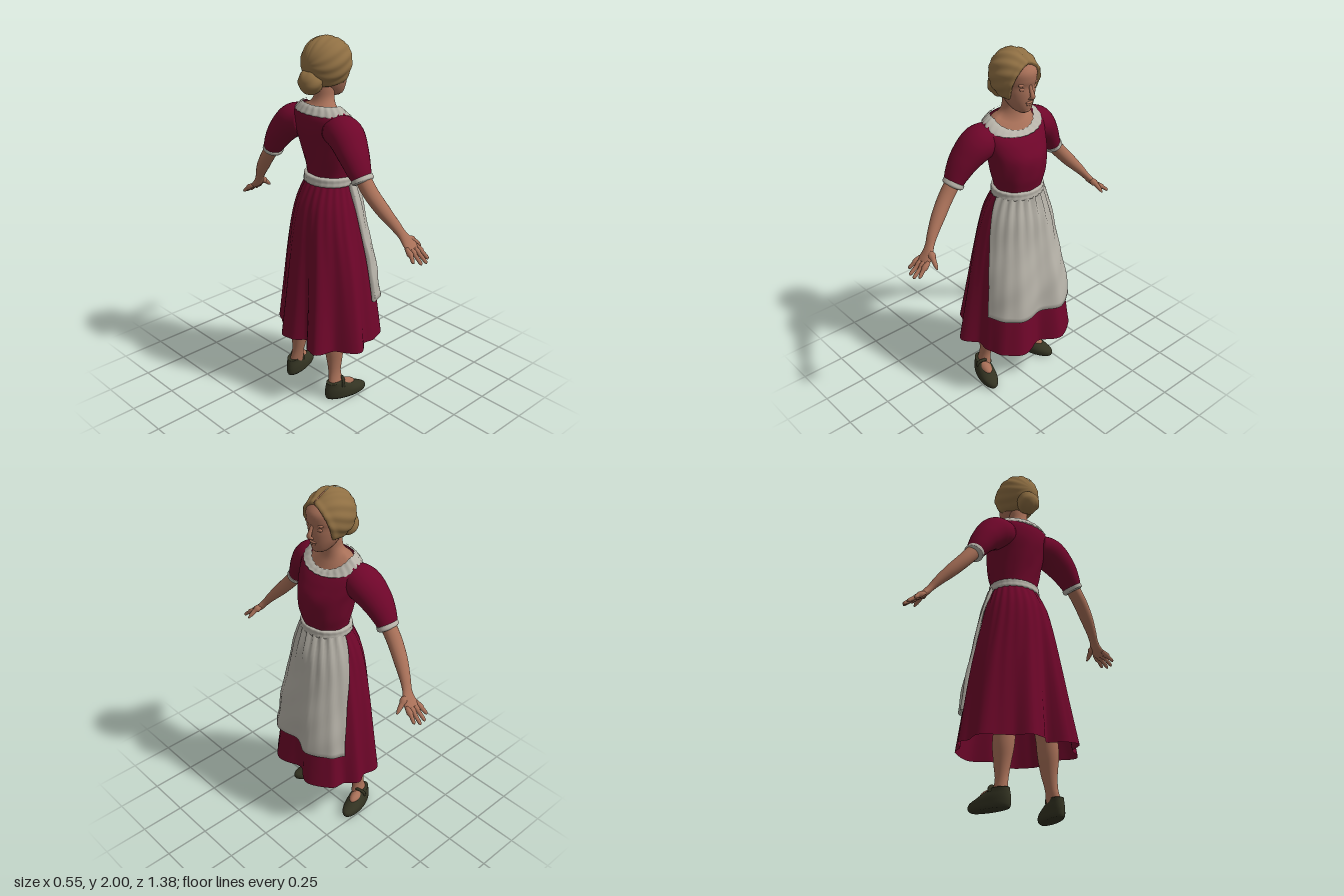
import * as THREE from 'three';

const mat = (name, color, side = THREE.FrontSide) => {
  const m = new THREE.MeshStandardMaterial({ color, side });
  m.name = name;
  return m;
};
const V = (x, y, z) => new THREE.Vector3(x, y, z);
const { sin, cos, PI, max, min, abs } = Math;

// Smooth skin over closed rings of points; caps fan to the ring centres
function loft(rings, cap = false) {
  const n = rings[0].length, pos = [], idx = [];
  rings.forEach(r => r.forEach(p => pos.push(p.x, p.y, p.z)));
  for (let i = 0; i < rings.length - 1; i++) for (let j = 0; j < n; j++) {
    const k = (j + 1) % n, a = i * n + j, b = a + n, c = i * n + k, d = c + n;
    idx.push(a, b, c, c, b, d);
  }
  if (cap) [0, rings.length - 1].forEach((r, e) => {
    const c = rings[r].reduce((s, p) => s.add(p), V(0, 0, 0)).divideScalar(n);
    const m = pos.length / 3;
    pos.push(c.x, c.y, c.z);
    for (let j = 0; j < n; j++) {
      const a = r * n + j, b = r * n + (j + 1) % n;
      e ? idx.push(m, b, a) : idx.push(m, a, b);
    }
  });
  const g = new THREE.BufferGeometry();
  g.setAttribute('position', new THREE.Float32BufferAttribute(pos, 3));
  g.setIndex(idx);
  g.computeVertexNormals();
  return g;
}

// Smooth interpolation of rows [y, xFront, xBack, halfWidth, zCentre, tilt] at height y
function rowAt(rows, y) {
  const slope = (i, k) => {
    const a = rows[max(i - 1, 0)], b = rows[min(i + 1, rows.length - 1)];
    return ((b[k] ?? 0) - (a[k] ?? 0)) / (b[0] - a[0]);
  };
  let i = 0;
  while (i < rows.length - 2 && y > rows[i + 1][0]) i++;
  const a = rows[i], b = rows[i + 1], h = b[0] - a[0], u = (y - a[0]) / h;
  return [0, 1, 2, 3, 4, 5].map(k => k === 0 ? y :
    (2 * u ** 3 - 3 * u * u + 1) * (a[k] ?? 0) + (u ** 3 - 2 * u * u + u) * h * slope(i, k) +
    (3 * u * u - 2 * u ** 3) * (b[k] ?? 0) + (u ** 3 - u * u) * h * slope(i + 1, k));
}
function rowPoint(r, t, extra = 0) {
  const [y, xf, xb, rz, cz, tilt] = r;
  return V((xf + xb) / 2 + ((xf - xb) / 2 + extra) * cos(t), y - tilt * max(0, cos(t)), cz + (rz + extra) * sin(t));
}
// Upright body from rows, with an optional fold rule
function body(rows, steps, cap, fold = () => 0, n = 40) {
  const y0 = rows[0][0], y1 = rows[rows.length - 1][0], rings = [];
  for (let i = 0; i <= steps; i++) {
    const r = rowAt(rows, y0 + (y1 - y0) * i / steps);
    rings.push(Array.from({ length: n }, (_, j) => rowPoint(r, j / n * 2 * PI, fold(r[0], j / n * 2 * PI))));
  }
  return loft(rings, cap);
}

// Limb through points [x, y, z, radius along x, other radius]; s mirrors it in z
function limb(pts, s = 1, n = 16, sub = 4) {
  const path = new THREE.CatmullRomCurve3(pts.map(p => V(p[0], p[1], p[2] * s)));
  const rad = new THREE.CatmullRomCurve3(pts.map(p => V(p[3], p[4] ?? p[3], 0)));
  const N = (pts.length - 1) * sub, rings = [];
  for (let i = 0; i <= N; i++) {
    const c = path.getPoint(i / N), T = path.getTangent(i / N), r = rad.getPoint(i / N);
    const B = V(1, 0, 0).addScaledVector(T, -T.x);
    B.normalize();
    const M = B.clone().cross(T);
    rings.push(Array.from({ length: n }, (_, j) => {
      const a = j / n * 2 * PI;
      return c.clone().addScaledVector(B, r.x * cos(a)).addScaledVector(M, r.y * sin(a));
    }));
  }
  return loft(rings, true);
}

const SKIRT = [[0.345, 0.25, -0.245, 0.318, 0, 0.012], [0.6, 0.228, -0.222, 0.282, 0, 0.005], [0.8, 0.205, -0.205, 0.25],
  [1.0, 0.175, -0.185, 0.208], [1.12, 0.16, -0.16, 0.178], [1.2, 0.14, -0.125, 0.15], [1.26, 0.125, -0.09, 0.125]];
const TORSO = [[1.22, 0.13, -0.09, 0.125], [1.28, 0.14, -0.092, 0.132], [1.35, 0.156, -0.105, 0.148],
  [1.45, 0.158, -0.13, 0.165], [1.53, 0.126, -0.146, 0.185, 0, 0.012], [1.6, 0.098, -0.145, 0.188, 0, 0.04],
  [1.632, 0.085, -0.132, 0.168, 0, 0.058], [1.652, 0.073, -0.116, 0.134, 0, 0.07]];
const COLLAR = [[1.618, 0.092, -0.14, 0.178, 0, 0.048], [1.621, 0.098, -0.144, 0.175, 0, 0.05], [1.638, 0.088, -0.134, 0.162, 0, 0.06],
  [1.655, 0.077, -0.122, 0.14, 0, 0.068], [1.664, 0.064, -0.11, 0.122, 0, 0.07]];
const NECK = [[1.61, 0.075, -0.118, 0.132, 0, 0.07], [1.645, 0.064, -0.11, 0.12, 0, 0.062], [1.66, 0.035, -0.092, 0.08, 0, 0.03],
  [1.69, 0.03, -0.075, 0.056], [1.74, 0.035, -0.068, 0.053], [1.8, 0.03, -0.06, 0.05]];
const HEAD = [[1.69, 0.085, 0.03, 0.022], [1.7, 0.099, 0.005, 0.038], [1.725, 0.108, -0.03, 0.056], [1.76, 0.113, -0.06, 0.073],
  [1.8, 0.116, -0.08, 0.083], [1.835, 0.115, -0.09, 0.088], [1.86, 0.123, -0.09, 0.09], [1.91, 0.122, -0.08, 0.085], [1.965, 0.075, -0.05, 0.05]];
const LEG = [[0.03, -0.03, -0.14, 0.032, 0.172], [0.075, -0.035, -0.138, 0.033, 0.17], [0.11, -0.045, -0.132, 0.03, 0.162], [0.15, -0.05, -0.125, 0.03, 0.155],
  [0.22, -0.035, -0.128, 0.039, 0.148], [0.32, -0.022, -0.142, 0.053, 0.142], [0.4, -0.02, -0.142, 0.054, 0.135], [0.65, 0.01, -0.13, 0.065, 0.11]];
const SHOE = [[0, 0.17, -0.055, 0.042], [0.012, 0.188, -0.06, 0.051], [0.04, 0.185, -0.062, 0.052], [0.06, 0.145, -0.06, 0.048],
  [0.078, 0.105, -0.057, 0.042], [0.1, 0.045, -0.052, 0.036]];

// Hem outline [x, z], turned into fold depths around the skirt
const FOLDS = [[-0.19, -0.155], [-0.16, -0.21], [-0.1, -0.3], [0, -0.285], [0.06, -0.315], [0.12, -0.26], [0.2, -0.24], [0.268, -0.12],
  [0.215, 0.01], [0.245, 0.17], [0.19, 0.24], [0.1, 0.28], [0.02, 0.275], [-0.08, 0.345], [-0.165, 0.235], [-0.268, 0.19],
  [-0.262, 0.13], [-0.2, 0.045], [-0.252, -0.03], [-0.258, -0.09]]
  .map(([x, z]) => [Math.atan2(z / 0.318, x / 0.2475), 0.28 * (Math.hypot(x / 0.2475, z / 0.318) - 1)])
  .sort((a, b) => a[0] - b[0]);
function hemFold(t) {
  const a = t > PI ? t - 2 * PI : t, n = FOLDS.length;
  let i = FOLDS.findIndex(f => f[0] > a);
  if (i < 0) i = n;
  const p = FOLDS[(i + n - 1) % n], q = FOLDS[i % n], wrap = v => (v + 2 * PI) % (2 * PI);
  return p[1] + (q[1] - p[1]) * THREE.MathUtils.smoothstep(wrap(a - p[0]) / wrap(q[0] - p[0]), 0, 1);
}
// Deep folds at the hem that fade towards the waist
function skirtFold(y, t) {
  const w = max(0, (1.22 - y) / 0.875);
  return w ** 1.3 * hemFold(t) + 0.003 * cos(24 * t) * (1 - w);
}

export function createModel() {
  const root = new THREE.Group();
  const dress = mat('crimson cloth', 0x6f062a, THREE.DoubleSide), linen = mat('linen', 0xb6b2a8);
  const skin = mat('skin', 0xa87058), hairMat = mat('blonde hair', 0x8f6f43), leather = mat('dark leather', 0x333322);
  const add = (name, geo, m, parent = root) => {
    const o = new THREE.Mesh(geo, m);
    o.name = name;
    parent.add(o);
    return o;
  };
  const ball = (name, m, x, y, z, a, b, c, parent = root) => {
    const o = add(name, new THREE.SphereGeometry(1, 20, 14), m, parent);
    o.position.set(x, y, z);
    o.scale.set(a, b, c);
  };

  // Dress
  add('skirt', body(SKIRT, 28, false, skirtFold, 128), dress);
  add('bodice', body(TORSO, 28, false, (y, t) => 0.003 * sin(9 * t + y * 20) * max(0, 1 - abs(y - 1.36) / 0.18), 64), dress);

  // Apron: a thin closed shell hung over the front of the skirt
  const apron = [], N = 44;
  for (let i = 0; i <= 28; i++) {
    const v = max(0, i - 1) / 27, y = 0.56 + 0.685 * v, A = 1.18 + 0.3 * v ** 2, r = rowAt(SKIRT, y);
    const at = (f, off) => {
      const t = A * f * (f < 0 ? 0.88 + 0.12 * v : 1);
      const gather = 0.006 * cos(22 * t) * max(0, v - 0.55) / 0.45;
      const crease = 0.006 * sin(y * 24 + t * 3) * sin(t * 4 + y * 7) * (1 - v) + 0.008 * (1 - v);
      const p = rowPoint(r, t, skirtFold(y, t) + off + (off > 0.01 ? gather + crease : 0));
      p.y += (1 - v) * 0.012 * f;
      return p;
    };
    const outer = i === 0 ? 0.007 : 0.019;
    apron.push([...Array.from({ length: N }, (_, j) => at(j / (N - 1) * 2 - 1, outer)),
      ...Array.from({ length: N }, (_, j) => at(1 - j / (N - 1) * 2, 0.005))]);
  }
  add('apron', loft(apron), linen);
  add('waistband', body([[1.228, 0.125, -0.09, 0.125], [1.232, 0.147, -0.11, 0.143], [1.255, 0.149, -0.11, 0.144],
    [1.276, 0.147, -0.106, 0.142], [1.281, 0.13, -0.09, 0.125]], 16, false, (y, t) => 0.0015 * sin(26 * t), 80), linen);

  // Flat ruffled collar lying on the neckline
  add('collar', body(COLLAR, 12, false, (y, t) => 0.0025 * cos(24 * t), 120), linen);

  // Neck, head and face
  add('neck', body(NECK, 16, false), skin);
  add('head', body(HEAD, 28, true), skin);
  add('nose', limb([[0.11, 1.85, 0, 0.006, 0.008], [0.122, 1.815, 0, 0.009, 0.01], [0.132, 1.787, 0, 0.011, 0.014], [0.114, 1.772, 0, 0.006, 0.013]]), skin);
  ball('upperLip', skin, 0.108, 1.753, 0, 0.01, 0.008, 0.024);
  ball('lowerLip', skin, 0.106, 1.742, 0, 0.01, 0.008, 0.02);
  ball('chin', skin, 0.087, 1.712, 0, 0.018, 0.018, 0.026);
  for (const s of [1, -1]) {
    ball('eyelid', skin, 0.097, 1.826, 0.036 * s, 0.011, 0.011, 0.018);
    ball('brow', skin, 0.099, 1.849, 0.037 * s, 0.012, 0.01, 0.026);
  }

  // Hair: rippled cap with a roll along the hairline, tucked in behind the face
  const hair = new THREE.SphereGeometry(1, 96, 64).rotateZ(-PI / 2), hp = hair.attributes.position;
  for (let i = 0; i < hp.count; i++) {
    const n = V().fromBufferAttribute(hp, i), around = Math.atan2(n.z, n.y);
    const edge = n.x - (0.37 + (n.y + 0.55) * 0.38 + 0.22 * abs(n.z));
    const bare = THREE.MathUtils.smoothstep(edge, -0.03, 0.05);
    const strands = 0.022 * cos(13 * around + 5 * n.x * Math.sign(n.z)) * (1 - n.x * n.x);
    const roll = 0.06 * Math.exp(-(((edge + 0.1) / 0.12) ** 2));
    const parting = 0.035 * Math.exp(-((n.z / 0.07) ** 2)) * max(0, n.y) * max(0, n.x + 0.3);
    const k = (1 + strands + roll - parting) * (1 - 0.24 * bare);
    hp.setXYZ(i, -0.008 + 0.134 * k * n.x, 1.866 + 0.132 * k * n.y, 0.119 * k * n.z);
  }
  hair.computeVertexNormals();
  add('hair', hair, hairMat);
  const bun = new THREE.SphereGeometry(0.064, 32, 24).rotateZ(PI / 2), bp = bun.attributes.position;
  for (let i = 0; i < bp.count; i++) {
    const p = V().fromBufferAttribute(bp, i), a = Math.atan2(p.z, p.y);
    p.multiplyScalar(1 + 0.045 * sin(5 * a + p.x * 60) * (1 - (p.x / 0.064) ** 2));
    bp.setXYZ(i, p.x, p.y, p.z);
  }
  bun.computeVertexNormals();
  add('bun', bun, hairMat).position.set(-0.112, 1.782, 0);

  for (const s of [1, -1]) {
    const side = s > 0 ? 'left' : 'right';
    // Sleeve and cuff
    add(side + 'Sleeve', limb([[-0.045, 1.55, 0.11, 0.085, 0.08], [-0.055, 1.535, 0.19, 0.098, 0.09], [-0.075, 1.462, 0.268, 0.086, 0.074],
      [-0.083, 1.39, 0.317, 0.068, 0.058], [-0.082, 1.348, 0.341, 0.056, 0.046]], s, 28, 6), dress);
    add(side + 'Cuff', limb([[-0.082, 1.362, 0.332, 0.05, 0.04], [-0.082, 1.356, 0.336, 0.061, 0.052], [-0.081, 1.342, 0.345, 0.062, 0.053],
      [-0.081, 1.334, 0.35, 0.052, 0.042]], s, 28), linen);
    // Arm and hand
    add(side + 'Arm', limb([[-0.081, 1.37, 0.33, 0.041], [-0.077, 1.29, 0.395, 0.041, 0.038], [-0.058, 1.215, 0.46, 0.038, 0.035],
      [-0.03, 1.14, 0.525, 0.029, 0.025], [-0.014, 1.1, 0.555, 0.027, 0.019], [0, 1.062, 0.585, 0.039, 0.018],
      [0.004, 1.036, 0.612, 0.044, 0.014], [0.005, 1.026, 0.62, 0.036, 0.008]], s, 20), skin);
    [[-0.031, -0.047, 0.99, 0.667], [-0.008, -0.012, 0.978, 0.687], [0.015, 0.022, 0.976, 0.69], [0.036, 0.05, 0.986, 0.674]].forEach(([x, tx, ty, tz]) =>
      add(side + 'Finger', limb([[x, 1.045, 0.602, 0.011], [(x + tx) / 2, 1.016, 0.642, 0.011], [tx, ty + 0.007, tz - 0.006, 0.009], [tx, ty, tz, 0.003]], s, 10), skin));
    add(side + 'Thumb', limb([[0.01, 1.08, 0.57, 0.014], [0.045, 1.058, 0.58, 0.014], [0.073, 1.035, 0.586, 0.011], [0.09, 1.02, 0.589, 0.004]], s, 10), skin);
    // Leg, foot and strapped shoe
    add(side + 'Leg', body(LEG.map(r => r.map((v, k) => k === 4 ? v * s : v)), 24, true), skin);
    const shoe = new THREE.Group();
    shoe.name = side + 'Shoe';
    shoe.position.set(-0.1, 0, 0.174 * s);
    shoe.rotation.y = -0.28 * s;
    root.add(shoe);
    ball('instep', skin, 0.045, 0.07, 0, 0.075, 0.033, 0.034, shoe);
    add('shoeBody', body(SHOE, 20, true), leather, shoe);
    const strap = [[0.03, 0.075, -0.04], [0.035, 0.1, -0.035], [0.042, 0.114, 0], [0.035, 0.1, 0.035], [0.03, 0.075, 0.04]];
    add('shoeStrap', new THREE.TubeGeometry(new THREE.CatmullRomCurve3(strap.map(p => V(...p))), 24, 0.009, 8), leather, shoe);
  }
  return root;
}
